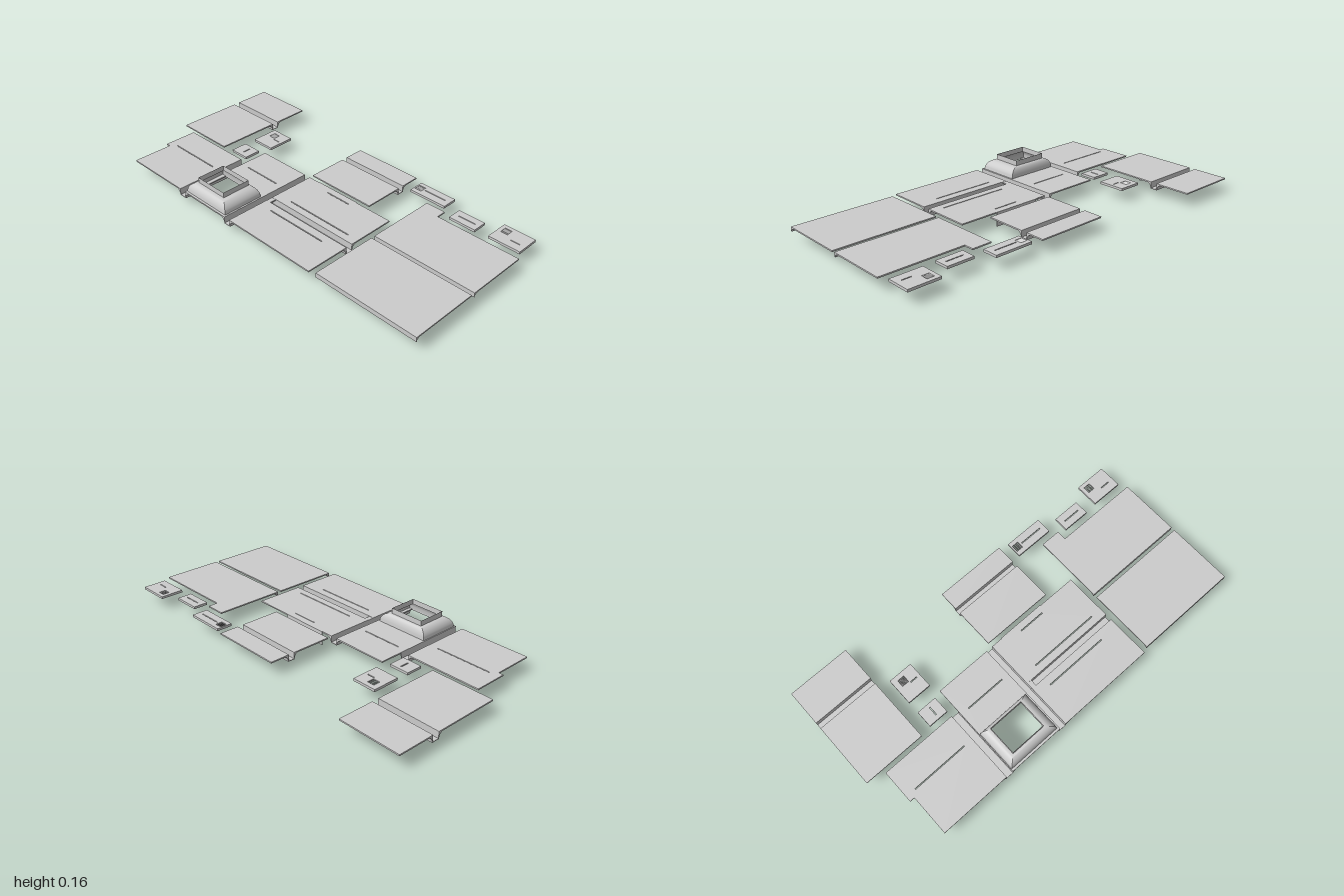
import * as THREE from 'three';
import { toCreasedNormals } from 'three/addons/utils/BufferGeometryUtils.js';

const TOP = 0.074, UNDER = 0.067, FLOOR = 0.037;

export function createModel() {
  const model = new THREE.Group();
  const mat = new THREE.MeshStandardMaterial({ color: 0xcccccc, side: THREE.DoubleSide });

  const add = (name, geo, parent = model) => {
    const mesh = new THREE.Mesh(geo, mat);
    mesh.name = name;
    parent.add(mesh);
    return mesh;
  };
  const box = (name, x0, x1, y0, y1, z0, z1) =>
    add(name, new THREE.BoxGeometry(x1 - x0, y1 - y0, z1 - z0)
      .translate((x0 + x1) / 2, (y0 + y1) / 2, (z0 + z1) / 2));
  const rect = (x0, x1, z0, z1) => [[x0, z0], [x1, z0], [x1, z1], [x0, z1]];
  const vecs = (pts) => pts.map(([x, y]) => new THREE.Vector2(x, y));

  // Flat panel from an x/z outline, with openings cut through
  const panel = (name, outline, holes = [], bottom = UNDER) => {
    const shape = new THREE.Shape(vecs(outline));
    holes.forEach((h) => shape.holes.push(new THREE.Path(vecs(h))));
    const geo = new THREE.ExtrudeGeometry(shape, { depth: TOP - bottom, bevelEnabled: false });
    return add(name, geo.rotateX(Math.PI / 2).translate(0, TOP, 0));
  };
  // Narrow air slot along z
  const slot = (x, z0, z1) => rect(x - 0.0025, x + 0.0025, z0, z1);

  // Concave quarter curve from the panel underside down to a beam edge
  const cove = (x, width, low, dir) => {
    const pts = [];
    for (let i = 0; i <= 8; i++) {
      const a = (i / 8) * Math.PI / 2;
      pts.push([x + dir * width * (1 - Math.sin(a)), low + (UNDER - low) * Math.cos(a)]);
    }
    return pts;
  };
  const extrude = (pts, length) => toCreasedNormals(
    new THREE.ExtrudeGeometry(new THREE.Shape(vecs(pts)), { depth: length, bevelEnabled: false }), 0.6);

  // Grooved beam: open channel above, coved sides below
  const channel = (name, c0, c1, a0, a1, alongX = false) => {
    const w = (c1 - c0) / 2, r = 0.026, t = 0.003;
    const geo = extrude([
      [-w - r, TOP - 0.001], ...cove(-w - t, r - t, FLOOR, -1), ...cove(w + t, r - t, FLOOR, 1).reverse(),
      [w + r, TOP - 0.001], [w, TOP - 0.001], [w, FLOOR + t], [-w, FLOOR + t], [-w, TOP - 0.001],
    ], a1 - a0);
    if (alongX) geo.rotateY(Math.PI / 2).translate(a0, 0, (c0 + c1) / 2);
    else geo.translate((c0 + c1) / 2, 0, a0);
    add(name, geo);
  };
  // Coved lip under one panel edge
  const lip = (name, x, z0, z1) => add(name, extrude([
    [x, TOP - 0.001], [x, 0.05], ...cove(x + 0.003, 0.022, 0.05, 1).reverse(), [x + 0.025, TOP - 0.001],
  ], z1 - z0).translate(0, 0, z0));

  // Rear panel and its neighbour with the shaft opening
  panel('rearPanel', [[-0.5, -0.88], [-0.285, -0.88], [-0.285, -0.905], [-0.107, -0.905],
    [-0.107, -0.5], [-0.5, -0.5]], [slot(-0.257, -0.85, -0.55)]);
  channel('rearChannel', -0.5, -0.461, -0.5, -0.107, true);
  panel('shaftPanel', rect(-0.5, 0.025, -0.461, -0.158),
    [rect(-0.488, -0.265, -0.457, -0.167), slot(-0.133, -0.415, -0.2)]);
  channel('crossChannel', -0.158, -0.123, -0.5, 0.025, true);

  // Flared square shaft, lofted from rectangular cross-sections
  const shaft = () => {
    const rings = 12, pos = [], base = [-0.488, -0.265, -0.457, -0.167], top = [-0.447, -0.292, -0.412, -0.222];
    const ring = (i) => {
      const a = Math.min(i / (rings - 1), 1) * Math.PI / 2;
      const y = i === rings ? 0.155 : TOP + 0.053 * Math.sin(a);
      const k = 1 - Math.cos(a);
      const [x0, x1, z0, z1] = base.map((b, j) => b + (top[j] - b) * k);
      return [[x0, y, z0], [x0, y, z1], [x1, y, z1], [x1, y, z0]];
    };
    for (let i = 0; i < rings; i++) {
      const p = ring(i), q = ring(i + 1);
      for (let j = 0; j < 4; j++) {
        const n = (j + 1) % 4;
        pos.push(...p[j], ...p[n], ...q[n], ...p[j], ...q[n], ...q[j]);
      }
    }
    const geo = new THREE.BufferGeometry();
    geo.setAttribute('position', new THREE.Float32BufferAttribute(pos, 3));
    return toCreasedNormals(geo, 0.6);
  };
  add('flaredShaft', shaft());

  // Middle panels
  panel('middlePanelRight', rect(-0.5, -0.265, -0.123, 0.41), [slot(-0.31, -0.045, 0.3)]);
  panel('middlePanelLeft', rect(-0.23, 0.025, -0.123, 0.41),
    [slot(-0.19, -0.03, 0.35), slot(-0.01, 0.04, 0.18)]);
  channel('middleChannel', -0.265, -0.23, -0.123, 0.41);
  box('hangingScreen', 0.025, 0.028, 0, TOP, -0.06, 0.2);

  // Side and rear-left panels, each split by a channel
  panel('sidePanelInner', rect(0.05, 0.265, -0.125, 0.26));
  panel('sidePanelOuter', rect(0.297, 0.402, -0.125, 0.26));
  channel('sideChannel', 0.265, 0.297, -0.125, 0.26);
  panel('backPanelInner', rect(-0.085, 0.265, -1, -0.667));
  panel('backPanelOuter', rect(0.3, 0.495, -1, -0.667));
  channel('backChannel', 0.265, 0.3, -1, -0.667);

  // Front panels with a lip along the right edge
  panel('frontPanelRight', rect(-0.487, -0.132, 0.44, 1));
  lip('frontLipRight', -0.487, 0.44, 1);
  panel('frontPanelLeft', [[-0.112, 0.44], [0.265, 0.44], [0.265, 0.547], [0.212, 0.547], [0.212, 1], [-0.112, 1]]);
  lip('frontLipLeft', -0.112, 0.44, 1);

  // Small trays with a rim below, an air slot and sometimes a louvred vent
  const tray = (x0, x1, z0, z1, opening, vent) => {
    const holes = [opening];
    if (vent) {
      const [x, z] = vent, h = 0.019;
      holes.push(rect(x - h, x + h, z - h, z + h));
      for (let i = -3; i <= 3; i++) {
        add('ventLouvre', new THREE.BoxGeometry(2 * h, 0.001, 0.008).rotateX(0.9)
          .translate(x, UNDER + 0.003, z + i * 0.0055));
      }
    }
    panel('smallTray', rect(x0, x1, z0, z1), holes);
    const e = 0.004;
    panel('trayRim', rect(x0, x1, z0, z1), [rect(x0 + e, x1 - e, z0 + e, z1 - e)], 0.061);
  };
  tray(-0.075, 0.015, -0.608, -0.5, rect(-0.052, -0.005, -0.552, -0.547));
  tray(0.08, 0.226, -0.608, -0.478, slot(0.154, -0.535, -0.497), [0.182, -0.56]);
  tray(0.3, 0.385, 0.308, 0.517, slot(0.343, 0.365, 0.49), [0.343, 0.335]);
  tray(0.247, 0.327, 0.588, 0.735, slot(0.286, 0.615, 0.71));
  tray(0.255, 0.382, 0.805, 0.975, slot(0.3, 0.895, 0.945), [0.342, 0.844]);

  // Three-blade fans hanging on rods
  const fan = (x, z) => {
    const group = new THREE.Group();
    group.name = 'ceilingFan';
    group.position.set(x, 0, z);
    const round = (name, r, y0, y1) =>
      add(name, new THREE.CylinderGeometry(r, r, y1 - y0, 20).translate(0, (y0 + y1) / 2, 0), group);
    round('fanRod', 0.003, 0.03, UNDER);
    round('fanCanopy', 0.008, 0.06, UNDER);
    round('fanHub', 0.011, 0.022, 0.034);
    round('fanCap', 0.006, 0.016, 0.022);
    for (let i = 0; i < 3; i++) {
      add('fanBlade', new THREE.BoxGeometry(0.064, 0.0015, 0.011).translate(0.038, 0.02, 0), group)
        .rotation.y = i * Math.PI * 2 / 3;
    }
    model.add(group);
  };
  [[-0.325, 0.73], [0.032, 0.73], [-0.1, 0.1], [0.15, 0.1], [0.15, -0.82]].forEach(([x, z]) => fan(x, z));

  // Round downlights under the larger panels
  [[-0.42, 0.53], [-0.2, 0.9], [-0.05, 0.53], [0.14, 0.9], [-0.17, -0.06], [-0.04, 0.3],
    [0.1, -0.06], [0.22, 0.21], [-0.02, -0.73], [0.21, -0.94]].forEach(([x, z]) =>
    add('downlight', new THREE.CylinderGeometry(0.007, 0.007, 0.004, 16).translate(x, UNDER - 0.001, z)));

  return model;
}
